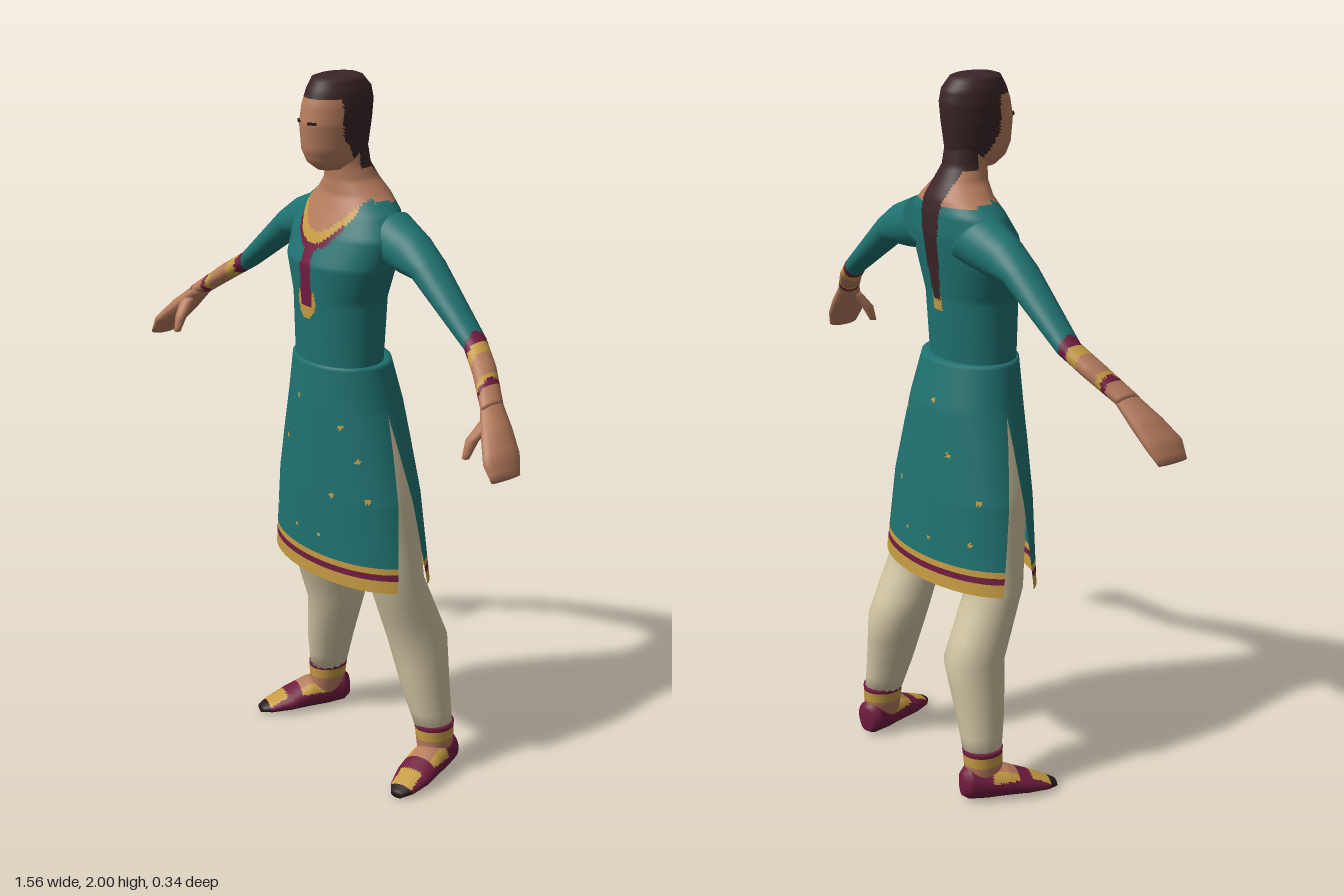
import * as THREE from 'three';

const colours = {
  teal: 0x1f7271, gold: 0xc69c42, maroon: 0x701c3f, skin: 0xb57b5c,
  hair: 0x3a2527, cream: 0xd0c4a2, sole: 0x2a1a1c,
};
const names = Object.keys(colours);
const X = new THREE.Vector3(1, 0, 0), Y = new THREE.Vector3(0, 1, 0), Z = new THREE.Vector3(0, 0, 1);

// Skin of elliptical rings [x, y, z, halfU, halfV]; paint(x, y, z) names the colour of each face.
function loft(mats, name, rings, u, v, paint, { n = 32, step = 0.02, arc = null, caps = true } = {}) {
  const rows = [];
  rings.forEach((r, i) => {
    if (i === 0) { rows.push(r); return; }
    const p = rings[i - 1];
    const k = Math.max(1, Math.ceil(Math.hypot(r[0] - p[0], r[1] - p[1], r[2] - p[2]) / step));
    for (let j = 1; j <= k; j++) rows.push(r.map((w, q) => p[q] + (w - p[q]) * j / k));
  });
  const pos = [], cols = arc ? n + 1 : n;
  const add = (p) => { pos.push(p.x, p.y, p.z); return pos.length / 3 - 1; };
  for (const [x, y, z, a, b] of rows) {
    const [t0, t1] = arc ? arc(y) : [0, Math.PI * 2];
    for (let i = 0; i < cols; i++) {
      const t = t0 + (t1 - t0) * i / n;
      add(new THREE.Vector3(x, y, z).addScaledVector(u, a * Math.cos(t)).addScaledVector(v, b * Math.sin(t)));
    }
  }
  const f = rings[0], l = rings[rings.length - 1];
  const flip = u.clone().cross(v).dot(new THREE.Vector3(l[0] - f[0], l[1] - f[1], l[2] - f[2])) < 0;
  const buckets = names.map(() => []);
  const tri = (a, b, c) => {
    const m = [0, 1, 2].map((k) => (pos[a * 3 + k] + pos[b * 3 + k] + pos[c * 3 + k]) / 3);
    buckets[names.indexOf(paint(...m))].push(a, ...(flip ? [c, b] : [b, c]));
  };
  for (let r = 0; r < rows.length - 1; r++) {
    for (let i = 0; i < n; i++) {
      const j = (i + 1) % cols, a = r * cols, b = a + cols;
      tri(a + i, a + j, b + j);
      tri(a + i, b + j, b + i);
    }
  }
  if (caps && !arc) {
    const c0 = add(new THREE.Vector3(...f)), c1 = add(new THREE.Vector3(...l));
    const e = (rows.length - 1) * cols;
    for (let i = 0; i < n; i++) {
      const j = (i + 1) % n;
      tri(c0, j, i);
      tri(c1, e + i, e + j);
    }
  }
  const g = new THREE.BufferGeometry(), index = [];
  buckets.forEach((b, k) => {
    if (!b.length) return;
    g.addGroup(index.length, b.length, k);
    for (const q of b) index.push(q);
  });
  g.setAttribute('position', new THREE.Float32BufferAttribute(pos, 3));
  g.setIndex(index);
  g.computeVertexNormals();
  const mesh = new THREE.Mesh(g, mats);
  mesh.name = name;
  return mesh;
}

// Upright ring from height, front z, back z and half-width
const level = ([y, zf, zb, a]) => [0, y, (zf + zb) / 2, a, (zf - zb) / 2];

function paintTorso(x, y, z) {
  const ax = Math.abs(x);
  if (z < 0.02) {
    // Ponytail with a gold tie, and the square back neckline
    const w = 0.016 + Math.max(0, y - 1.4) * 0.1;
    if (y > 1.395 && ax < w) return 'hair';
    if (y > 1.365 && ax < 0.018) return 'gold';
    if (y > 1.75) return 'hair';
    return y > 1.665 && ax < 0.125 ? 'skin' : 'teal';
  }
  const d = y - (1.585 + 7.5 * x * x);
  if (d > 0 || y > 1.69) return 'skin';
  if (ax < 0.105 && d > -0.03) return 'gold';
  if (ax < 0.09 && d > -0.048) return 'maroon';
  if (ax < 0.022 && y > 1.385 && y < 1.56) return 'maroon';
  if (Math.hypot(x / 0.036, (y - 1.395) / 0.048) < 1) return 'gold';
  return 'teal';
}

const motifs = [[-0.2, 0.86], [0.2, 0.86], [-0.05, 0.73], [0.05, 0.73], [0.1, 0.86], [-0.1, 0.98],
  [0.12, 1.06], [-0.03, 1.12], [0.17, 0.97], [-0.19, 0.74]];
function paintSkirt(x, y) {
  if (y < 0.636) return 'gold';
  if (y < 0.655) return 'maroon';
  if (y < 0.67) return 'gold';
  return motifs.some(([mx, my]) => Math.hypot(x - mx, y - my) < 0.007) ? 'gold' : 'teal';
}

function paintHead(x, y, z) {
  const edge = y > 1.85 ? 0.085 : 0.03 + (y - 1.77) * 0.69;
  return y > 1.945 || (y > 1.765 && z < edge) ? 'hair' : 'skin';
}

function paintArm(x) {
  const ax = Math.abs(x);
  if (ax < 0.5) return 'teal';
  if (ax < 0.522) return 'maroon';
  if (ax < 0.55) return 'gold';
  if (ax > 0.6 && ax < 0.612) return 'gold';
  if (ax > 0.612 && ax < 0.624) return 'maroon';
  return 'skin';
}

function paintShoe(x, y, z) {
  if (y < 0.016 || z > 0.19) return 'sole';
  const ax = Math.abs(x);
  if (z > 0.13 && ax < 0.034) return 'gold';
  if (z > 0.01 && z < 0.09 && y > 0.058) return ax < 0.032 ? 'skin' : 'gold';
  return 'maroon';
}

export function createModel() {
  const model = new THREE.Group();
  model.name = 'womanInTunic';
  const mats = names.map((k) => {
    const m = new THREE.MeshStandardMaterial({ color: colours[k], side: THREE.DoubleSide });
    m.name = k;
    return m;
  });
  const put = (parent, ...args) => parent.add(loft(mats, ...args));

  // Torso and neck
  put(model, 'torso', [
    [1.2, 0.152, -0.058, 0.142], [1.4, 0.16, -0.075, 0.145], [1.5, 0.165, -0.09, 0.18],
    [1.58, 0.13, -0.1, 0.195], [1.64, 0.098, -0.1, 0.165], [1.68, 0.08, -0.092, 0.115],
    [1.72, 0.077, -0.068, 0.075], [1.76, 0.08, -0.045, 0.06], [1.82, 0.08, -0.035, 0.055],
  ].map(level), X, Z, paintTorso, { n: 120, step: 0.009 });

  // Skirt panels with side slits widening to the hem
  const skirt = [
    [1.225, 0.15, -0.055, 0.14], [1.224, 0.16, -0.085, 0.155], [1.1, 0.165, -0.115, 0.185],
    [1, 0.165, -0.125, 0.215], [0.85, 0.165, -0.14, 0.255], [0.6, 0.16, -0.152, 0.293],
  ].map(level);
  const slit = (y) => Math.max(0, 1.09 - y) * 0.7;
  for (const [name, start] of [['frontSkirt', 0], ['backSkirt', Math.PI]]) {
    put(model, name, skirt, X, Z, paintSkirt,
      { n: 64, step: 0.009, arc: (y) => [start + slit(y), start + Math.PI - slit(y)] });
  }

  // Head with hair
  put(model, 'head', [
    [1.752, 0.115, 0.01, 0.035], [1.775, 0.145, -0.03, 0.056], [1.81, 0.16, -0.04, 0.067],
    [1.88, 0.165, -0.05, 0.075], [1.93, 0.155, -0.055, 0.075], [1.965, 0.142, -0.048, 0.07],
    [1.995, 0.125, -0.022, 0.058], [2, 0.11, -0.01, 0.045],
  ].map(level), X, Z, paintHead, { n: 64, step: 0.009 });

  const armUp = (s) => new THREE.Vector3(0.61 * s, 0.79, 0);
  for (const s of [1, -1]) {
    const side = s > 0 ? 'left' : 'right';
    const mirror = (rings) => rings.map(([x, ...rest]) => [x * s, ...rest]);

    // Eye
    const eye = new THREE.Mesh(new THREE.BoxGeometry(0.024, 0.007, 0.006), mats[names.indexOf('sole')]);
    eye.name = side + 'Eye';
    eye.position.set(0.028 * s, 1.885, 0.157);
    eye.rotation.y = 0.5 * s;
    model.add(eye);

    // Sleeve, forearm and hand
    const arm = new THREE.Group();
    arm.name = side + 'Arm';
    put(arm, side + 'SleeveAndForearm', mirror([
      [0.11, 1.58, -0.02, 0.08, 0.085], [0.22, 1.55, -0.02, 0.064, 0.068], [0.3, 1.523, -0.018, 0.054, 0.043],
      [0.5, 1.37, -0.012, 0.036, 0.026], [0.57, 1.322, 0.016, 0.037, 0.025], [0.655, 1.255, 0.062, 0.036, 0.02],
    ]), Z, armUp(s), paintArm, { step: 0.012 });
    put(arm, side + 'Hand', mirror([
      [0.645, 1.262, 0.058, 0.035, 0.019], [0.7, 1.205, 0.085, 0.05, 0.025],
      [0.745, 1.155, 0.107, 0.06, 0.021], [0.772, 1.112, 0.115, 0.048, 0.012],
    ]), Z, new THREE.Vector3(0.72 * s, 0.69, 0), () => 'skin', { n: 16 });
    put(arm, side + 'Thumb', mirror([
      [0.675, 1.235, 0.09, 0.022, 0.02], [0.658, 1.185, 0.13, 0.017, 0.018], [0.655, 1.14, 0.148, 0.01, 0.01],
    ]), X, Z, () => 'skin', { n: 12 });
    model.add(arm);

    // Trouser leg and banded ankle
    const leg = new THREE.Group();
    leg.name = side + 'Leg';
    put(leg, side + 'Trouser', mirror([
      [0.078, 1.17, 0.03, 0.075, 0.085], [0.14, 0.9, 0.015, 0.09, 0.1], [0.183, 0.6, -0.01, 0.08, 0.08],
      [0.19, 0.4, -0.085, 0.08, 0.09], [0.225, 0.25, -0.09, 0.064, 0.072], [0.252, 0.13, -0.1, 0.05, 0.055],
    ]), X, Z, () => 'cream', { n: 16, step: 0.1 });
    put(leg, side + 'Ankle', mirror([
      [0.251, 0.152, -0.1, 0.055, 0.059], [0.255, 0.1, -0.1, 0.05, 0.056], [0.26, 0.05, -0.095, 0.042, 0.05],
    ]), X, Z, (x, y) => (y > 0.137 ? 'maroon' : y > 0.105 ? 'gold' : 'skin'), { n: 24, step: 0.008 });

    // Shoe turned outward
    const shoe = loft(mats, side + 'Shoe', [
      [0, 0.05, -0.07, 0.025, 0.035], [0, 0.054, -0.052, 0.043, 0.05], [0, 0.05, 0, 0.049, 0.05],
      [0, 0.046, 0.06, 0.054, 0.045], [0, 0.032, 0.12, 0.055, 0.031], [0, 0.019, 0.18, 0.04, 0.018],
      [0, 0.012, 0.21, 0.02, 0.01],
    ], X, Y, paintShoe, { n: 40, step: 0.008 });
    shoe.position.set(0.264 * s, 0, -0.1);
    shoe.rotation.y = 0.32 * s;
    leg.add(shoe);
    model.add(leg);
  }
  return model;
}
